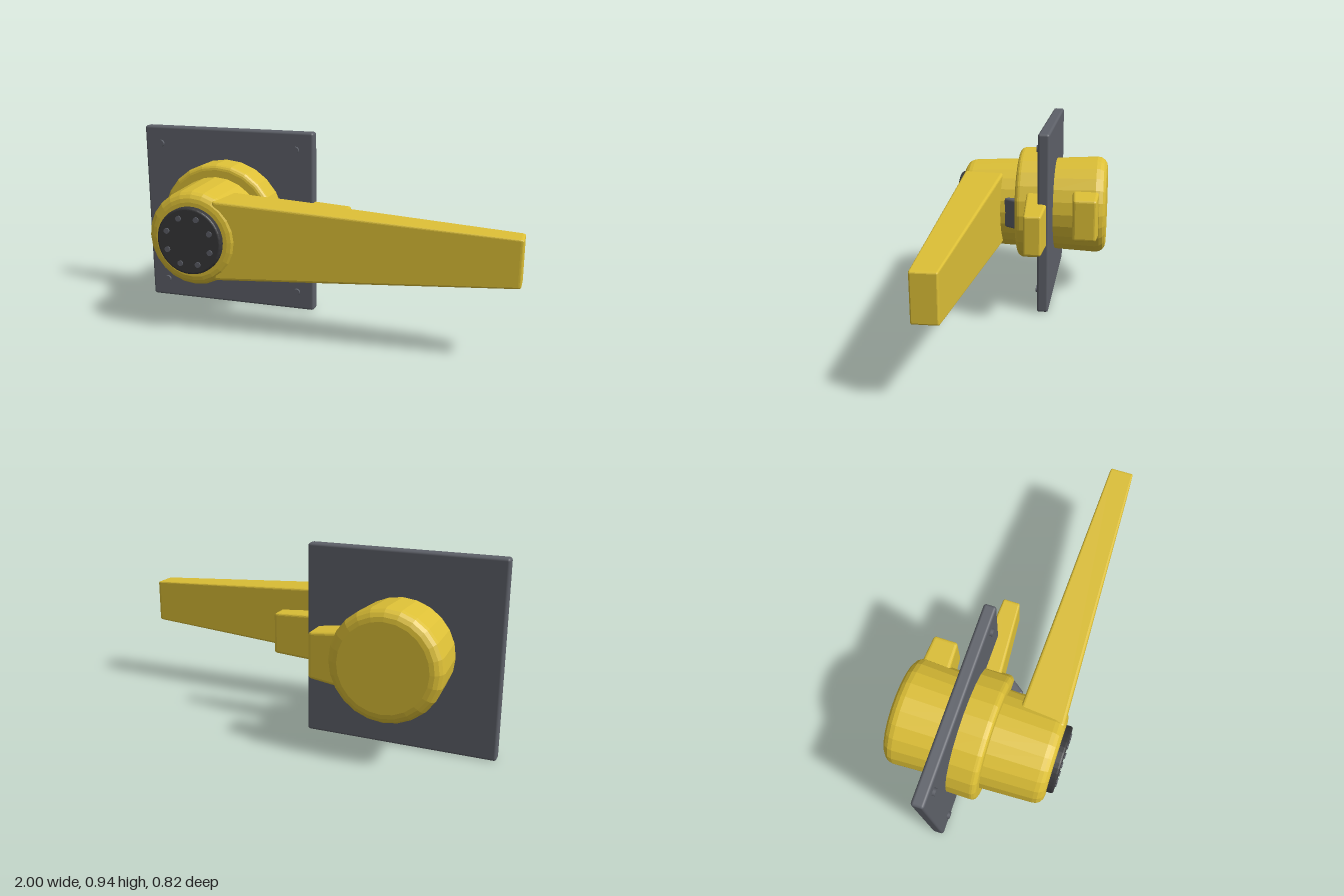
import * as THREE from 'three';
import { RoundedBoxGeometry } from 'three/addons/geometries/RoundedBoxGeometry.js';

const yellow = new THREE.MeshStandardMaterial({ color: 0xdcbf36 });
const slate = new THREE.MeshStandardMaterial({ color: 0x5d6068 });
const black = new THREE.MeshStandardMaterial({ color: 0x38383a });
yellow.name = 'safety yellow';
slate.name = 'slate grey';
black.name = 'black';

const AX = -0.535, AY = 0.472; // hub axis

export function createModel() {
  const root = new THREE.Group();
  root.name = 'rotaryHandle';

  function add(name, geometry, material, x = 0, y = 0, z = 0, parent = root) {
    const mesh = new THREE.Mesh(geometry, material);
    mesh.name = name;
    mesh.position.set(x, y, z);
    parent.add(mesh);
    return mesh;
  }

  // Faceted body of revolution along z; profile is [radius, z] from back to front
  function turned(profile, sides) {
    const g = new THREE.LatheGeometry(profile.map(([r, z]) => new THREE.Vector2(r, z)), sides)
      .rotateX(Math.PI / 2).toNonIndexed();
    g.computeVertexNormals();
    return g;
  }

  // Quarter-round edge at the end of a turned body; dir is +1 for front, -1 for back
  function edge(r, z, f, dir) {
    const pts = [];
    for (let i = 0; i <= 4; i++) {
      const a = (i / 4) * Math.PI / 2;
      pts.push([r - f + f * Math.cos(a), z + dir * (f * Math.sin(a) - f)]);
    }
    return dir > 0 ? pts : pts.reverse();
  }

  // Rounded bar along x, with y and z ranges at its root and tip
  function taperedBar(x0, x1, rootYZ, tipYZ, bevel) {
    const [ya, yb, za, zb] = rootYZ;
    const w = x1 - x0, h = yb - ya, d = zb - za;
    const g = new RoundedBoxGeometry(w, h, d, 2, bevel);
    const p = g.attributes.position;
    for (let i = 0; i < p.count; i++) {
      const t = p.getX(i) / w + 0.5;
      const v = p.getY(i) / h + 0.5, u = p.getZ(i) / d + 0.5;
      const lo = (k) => THREE.MathUtils.lerp(rootYZ[k], tipYZ[k], t);
      p.setXYZ(i, x0 + t * w,
        THREE.MathUtils.lerp(lo(0), lo(1), v),
        THREE.MathUtils.lerp(lo(2), lo(3), u));
    }
    g.computeVertexNormals();
    return g;
  }

  // Mounting plate and its four screws
  add('mountingPlate', new RoundedBoxGeometry(0.935, 0.94, 0.06, 2, 0.013), slate, -0.5325, 0.47, -0.1);
  const screw = new THREE.CylinderGeometry(0.018, 0.018, 0.03, 16).rotateX(Math.PI / 2);
  for (const x of [-0.908, -0.158])
    for (const y of [0.096, 0.85]) add('plateScrew', screw, slate, x, y, -0.072);

  // Rear drum, collar and front hub
  add('rearDrum', turned([[0, -0.41], ...edge(0.266, -0.41, 0.055, -1), [0.254, -0.12]], 24), yellow, AX, AY);
  add('collar', turned([[0.31, -0.1], ...edge(0.31, 0.072, 0.028, 1), [0.2, 0.072]], 24), yellow, AX, AY);
  add('frontHub', turned([[0.246, 0.06], ...edge(0.234, 0.375, 0.05, 1), [0, 0.375]], 24), yellow, AX, AY);

  // Lever and the two side tabs
  add('lever', taperedBar(-0.43, 1, [0.275, 0.668, 0.15, 0.368], [0.363, 0.585, 0.195, 0.314], 0.014), yellow);
  add('collarTab', taperedBar(-0.32, 0.125, [0.345, 0.598, -0.127, 0.012], [0.368, 0.572, -0.108, -0.022], 0.014), yellow);
  add('rearTab', taperedBar(-0.36, -0.168, [0.338, 0.603, -0.376, -0.23], [0.362, 0.582, -0.366, -0.243], 0.016), yellow);

  // Small tilted stop block between collar and lever
  const stop = add('stopBlock', new RoundedBoxGeometry(0.09, 0.16, 0.045, 2, 0.012), slate, -0.29, AY, 0.085);
  stop.rotation.y = 0.95;

  // Front cap with a ring of bolts
  const cap = new THREE.Group();
  cap.name = 'frontCap';
  cap.position.set(AX, AY, 0);
  root.add(cap);
  add('capDisc', turned([[0.164, 0.36], ...edge(0.164, 0.407, 0.01, 1), [0, 0.407]], 40), black, 0, 0, 0, cap);
  const bolt = new THREE.CylinderGeometry(0.014, 0.014, 0.02, 14).rotateX(Math.PI / 2);
  for (let i = 0; i < 8; i++) {
    const a = (i + 0.5) * Math.PI / 4;
    add('capBolt', bolt, slate, 0.119 * Math.cos(a), 0.119 * Math.sin(a), 0.403, cap);
  }
  return root;
}
